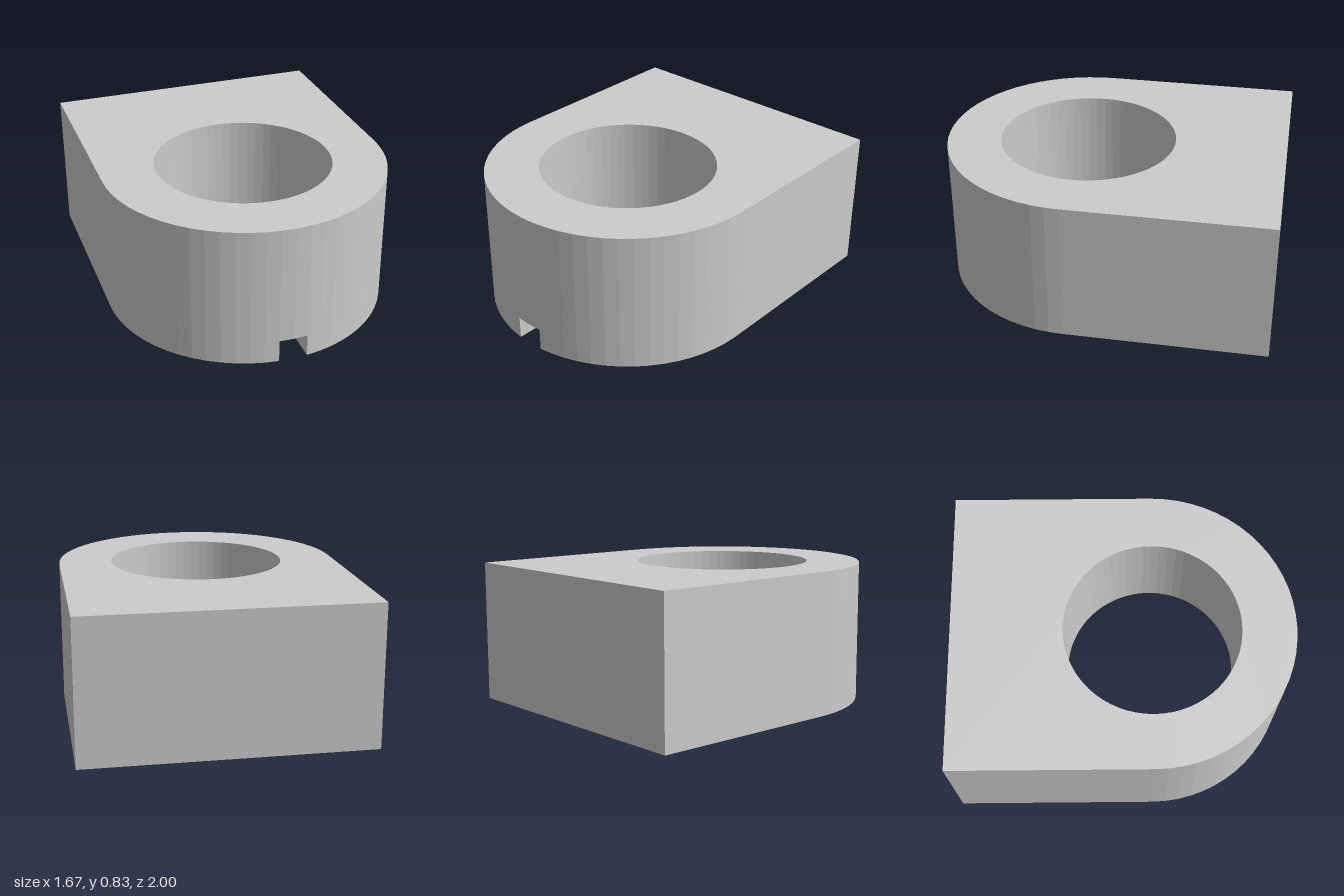
import * as THREE from 'three';

const R = 0.833, BORE = 0.517, RECESS = 0.683;   // radii
const CZ = 0.167, BACK = -1;                     // bore centre and back face in z
const H = 0.833, SEAM = 0.133, SLOT = 0.083;     // height, recess depth, slot half width
const STEP = Math.PI / 32;

// Points on a circle round the bore axis, from angle a to angle b
function arc(r, a, b) {
  const pts = [], dir = Math.sign(b - a), at = t => new THREE.Vector2(r * Math.cos(t), CZ + r * Math.sin(t));
  pts.push(at(a));
  const lo = Math.min(a, b), hi = Math.max(a, b), inner = [];
  for (let i = Math.ceil(lo / STEP + 1e-4); i * STEP < hi - 1e-4; i++) inner.push(at(i * STEP));
  pts.push(...(dir > 0 ? inner : inner.reverse()), at(b));
  return pts;
}

// Plan outline extruded between two heights, leaving the seam plane open
function slab(shape, y0, y1) {
  const g = new THREE.ExtrudeGeometry(shape, { depth: y1 - y0, bevelEnabled: false });
  g.rotateX(Math.PI / 2).translate(0, y1, 0);
  const p = g.attributes.position, keep = [];
  for (let i = 0; i < p.count; i += 3) {
    const onSeam = [0, 1, 2].every(k => Math.abs(p.getY(i + k) - SEAM) < 1e-4);
    if (!onSeam) for (let k = 0; k < 3; k++) keep.push(p.getX(i + k), p.getY(i + k), p.getZ(i + k));
  }
  const out = new THREE.BufferGeometry();
  out.setAttribute('position', new THREE.Float32BufferAttribute(keep, 3));
  out.computeVertexNormals();
  return out;
}

export function createModel() {
  const group = new THREE.Group();
  const material = new THREE.MeshStandardMaterial({ color: 0xcccccc, flatShading: true });
  const add = (name, geometry) => {
    const mesh = new THREE.Mesh(geometry, material);
    mesh.name = name;
    group.add(mesh);
  };
  const corners = [new THREE.Vector2(-R, BACK), new THREE.Vector2(R, BACK)];
  const Q = Math.PI / 2, outer = Math.asin(SLOT / R), inner = Math.asin(SLOT / RECESS);
  const bore = () => new THREE.Path(arc(BORE, 0, 2 * Math.PI).slice(0, -1));

  // Main block with the through bore
  const upper = new THREE.Shape([...corners, ...arc(R, 0, Math.PI)]);
  upper.holes.push(bore());
  add('upperBody', slab(upper, SEAM, H));

  // Lower rim: wider recess opened at the front by a slot
  const lower = new THREE.Shape([
    ...corners,
    ...arc(R, 0, Q - outer),
    ...arc(RECESS, Q - inner, Q + inner - 2 * Math.PI),
    ...arc(R, Q + outer, Math.PI),
  ]);
  add('lowerRim', slab(lower, 0, SEAM));

  // Downward-facing recess ledge and slot roof
  const ledge = new THREE.Shape([
    ...arc(R, Q - outer, Q + outer),
    ...arc(RECESS, Q + inner, Q - inner + 2 * Math.PI),
  ]);
  ledge.holes.push(bore());
  add('recessLedge', new THREE.ShapeGeometry(ledge).rotateX(Math.PI / 2).translate(0, SEAM, 0));

  return group;
}
